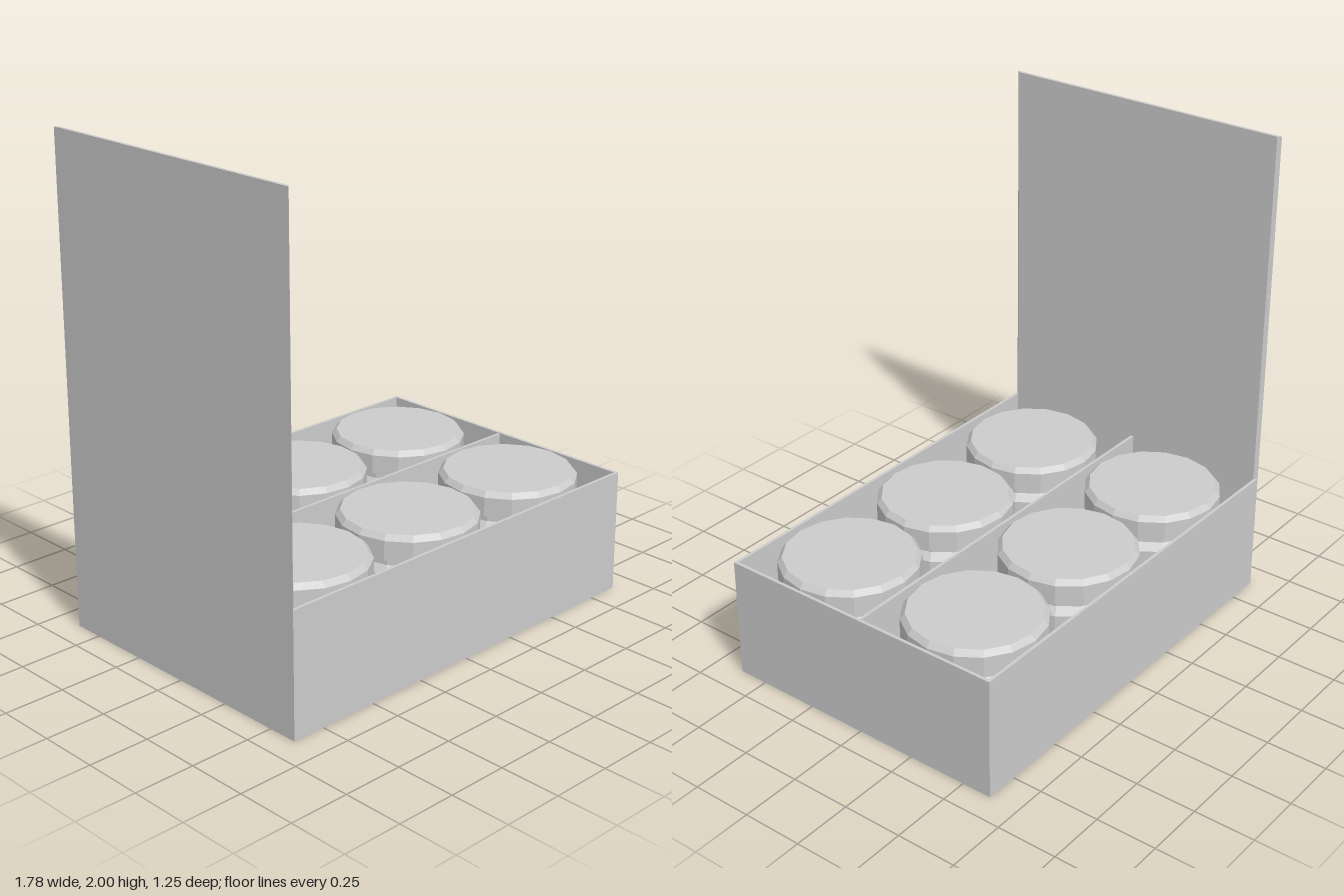
import * as THREE from 'three';

const W = 0.89, D = 0.625, H = 0.51, T = 0.013; // box half width, half depth, height, wall

export function createModel() {
  const model = new THREE.Group();
  const material = new THREE.MeshStandardMaterial({ color: 0xcccccc, flatShading: true });

  const add = (name, geometry, x = 0, y = 0, z = 0, parent = model) => {
    const mesh = new THREE.Mesh(geometry, material);
    mesh.name = name;
    mesh.position.set(x, y, z);
    parent.add(mesh);
    return mesh;
  };
  const outline = (pairs) => pairs.map(([x, y]) => new THREE.Vector2(x, y));
  const rectangle = (w, d) => outline([[-w, -d], [w, -d], [w, d], [-w, d]]);
  // Extrude a plan outline upwards
  const raise = (shape, depth) =>
    new THREE.ExtrudeGeometry(shape, { depth, bevelEnabled: false }).rotateX(-Math.PI / 2);

  // Open tray: four walls and a floor
  const walls = new THREE.Shape(rectangle(W, D));
  walls.holes.push(new THREE.Path(rectangle(W - T, D - T).reverse()));
  add('boxWalls', raise(walls, H));
  add('boxFloor', new THREE.BoxGeometry(2 * (W - T), T, 2 * (D - T)), 0, T / 2, 0);
  add('divider', new THREE.BoxGeometry(2 * (W - T), H - T - 0.004, T), 0, (H + T - 0.004) / 2, -0.006);

  // Upright lid with mitred side edges
  const lid = new THREE.Shape(outline([[-W, -D], [-W + T, -D + T], [-W + T, D - T], [-W, D]]));
  add('lid', raise(lid, 2 - H), 0, H, 0);

  // Jar body with shoulder and neck, and a chamfered cap
  const bodyGeometry = new THREE.LatheGeometry(outline([
    [0, T], [0.255, T], [0.27, 0.03], [0.27, 0.36], [0.245, 0.39], [0.245, 0.44], [0, 0.44],
  ]), 16);
  const capGeometry = new THREE.LatheGeometry(outline([
    [0, 0.425], [0.28, 0.425], [0.28, 0.503], [0.261, 0.525], [0, 0.525],
  ]), 16);

  // Two rows of three jars
  for (const z of [-0.315, 0.305]) {
    [-0.575, 0.004, 0.582].forEach((x, column) => {
      const jar = new THREE.Group();
      jar.name = 'jar';
      jar.position.set(x, 0, z);
      jar.rotation.y = column === 1 ? 0.06 : 0;
      add('jarBody', bodyGeometry, 0, 0, 0, jar);
      add('jarCap', capGeometry, 0, 0, 0, jar);
      model.add(jar);
    });
  }
  return model;
}
